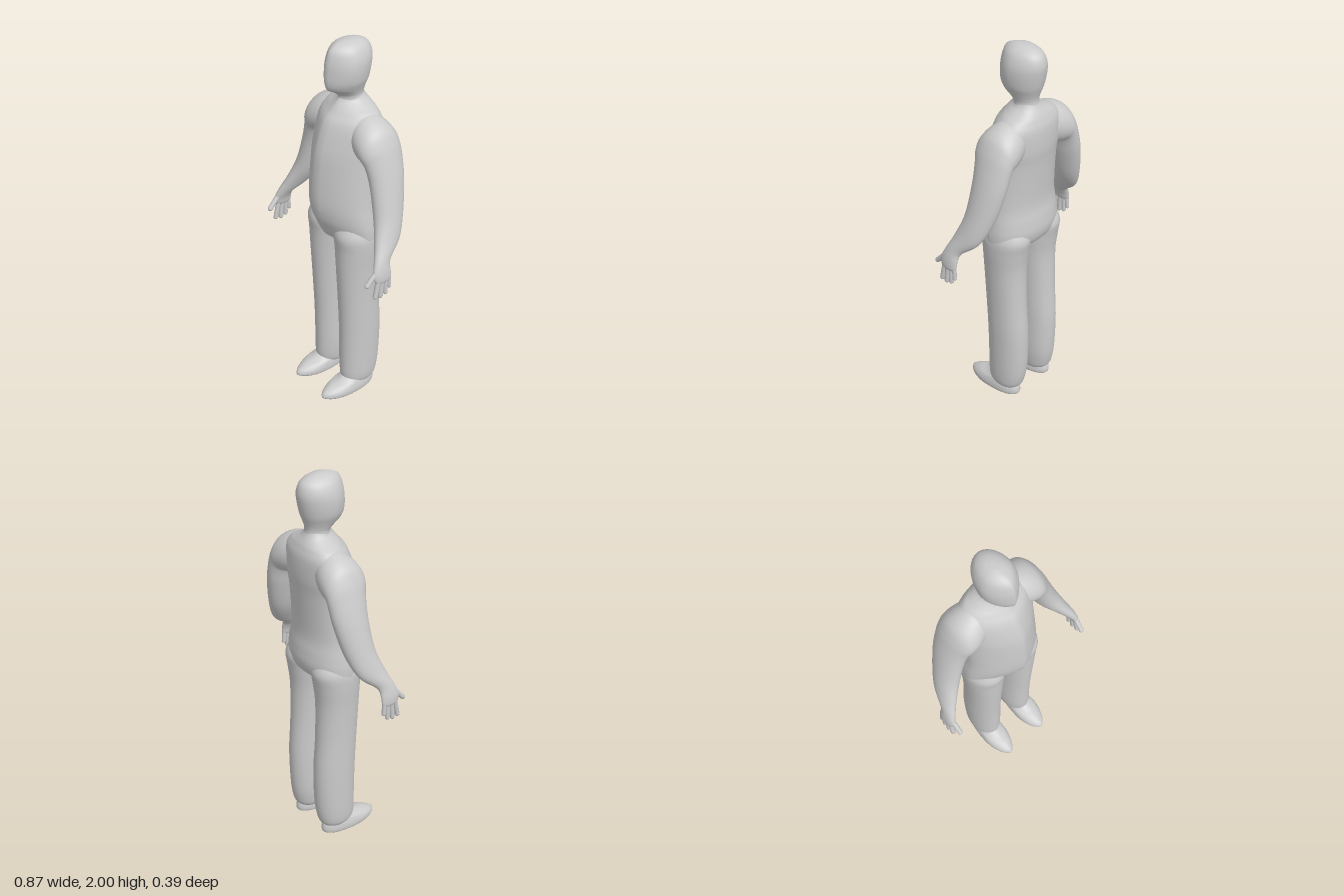
import * as THREE from 'three';

const SEG = 36, SUB = 5;
const material = new THREE.MeshStandardMaterial({ color: 0xcccccc });

// A row is one cross-section: [outerX, outerY, innerX, innerY, frontZ, widestZ, backZ]
const level = (y, xo, xi, zf, zc, zb) => [xo, y, xi, y, zf, zc, zb];
const centred = ([y, hw, zf, zc, zb]) => level(y, hw, -hw, zf, zc, zb);
const mirrorRow = ([ox, oy, ix, iy, ...z]) => [-ix, iy, -ox, oy, ...z];

// Catmull-Rom between rows so that few sections give a smooth body
function smoothRows(rows) {
  const out = [];
  const at = i => rows[Math.min(Math.max(i, 0), rows.length - 1)];
  for (let i = 0; i < rows.length - 1; i++) {
    for (let s = 0; s < SUB; s++) {
      const t = s / SUB, [a, b, c, d] = [at(i - 1), at(i), at(i + 1), at(i + 2)];
      out.push(b.map((v, k) => v + 0.5 * t * (c[k] - a[k] + t * (2 * a[k] - 5 * v + 4 * c[k] - d[k]
        + t * (3 * (v - c[k]) + d[k] - a[k])))));
    }
  }
  out.push(rows[rows.length - 1]);
  return out;
}

// Closed skin through the rows, given from top to bottom; ridge sharpens the front
function loft(name, sections, ridge = 0, backPower = 1) {
  const rows = smoothRows(sections), pos = [], idx = [];
  for (const [ox, oy, ix, iy, zf, zc, zb] of rows) {
    for (let j = 0; j < SEG; j++) {
      const a = j / SEG * Math.PI * 2, c = Math.cos(a), s = Math.sin(a);
      const z = s >= 0
        ? zc + (zf - zc) * (s * (1 - ridge) + ridge * (1 - Math.abs(c)))
        : zc - (zc - zb) * Math.pow(-s, backPower);
      pos.push((ox + ix) / 2 + c * (ox - ix) / 2, (oy + iy) / 2 + c * (oy - iy) / 2, z);
    }
  }
  const last = rows.length - 1, top = rows.length * SEG;
  for (const [ox, oy, ix, iy, zf, , zb] of [rows[0], rows[last]])
    pos.push((ox + ix) / 2, (oy + iy) / 2, (zf + zb) / 2);
  for (let j = 0; j < SEG; j++) {
    const k = (j + 1) % SEG;
    for (let i = 0; i < last; i++) {
      const a = i * SEG + j, b = i * SEG + k;
      idx.push(a, b, a + SEG, b, b + SEG, a + SEG);
    }
    idx.push(top, k, j, top + 1, last * SEG + j, last * SEG + k);
  }
  const geo = new THREE.BufferGeometry();
  geo.setAttribute('position', new THREE.Float32BufferAttribute(pos, 3));
  geo.setIndex(idx);
  geo.computeVertexNormals();
  const mesh = new THREE.Mesh(geo, material);
  mesh.name = name;
  return mesh;
}

// Rounded finger between two points
function finger(name, from, to, r) {
  const a = new THREE.Vector3(...from), b = new THREE.Vector3(...to), dir = b.clone().sub(a);
  const mesh = new THREE.Mesh(new THREE.CapsuleGeometry(r, dir.length(), 5, 10), material);
  mesh.name = name;
  mesh.position.copy(a).add(b).multiplyScalar(0.5);
  mesh.quaternion.setFromUnitVectors(new THREE.Vector3(0, 1, 0), dir.normalize());
  return mesh;
}

const HEAD = [
  [2.0, 0.015, -0.03, -0.05, -0.08],
  [1.99, 0.045, 0.015, -0.05, -0.125],
  [1.965, 0.073, 0.052, -0.05, -0.162],
  [1.92, 0.092, 0.07, -0.05, -0.177],
  [1.87, 0.097, 0.078, -0.045, -0.173],
  [1.81, 0.09, 0.08, -0.045, -0.16],
  [1.77, 0.074, 0.066, -0.05, -0.146],
  [1.742, 0.062, 0.025, -0.06, -0.138],
  [1.715, 0.057, 0.0, -0.07, -0.138],
  [1.66, 0.07, 0.005, -0.08, -0.15],
].map(centred);

const TORSO = [
  [1.73, 0.05, -0.012, -0.07, -0.13],
  [1.70, 0.066, 0.005, -0.08, -0.145],
  [1.675, 0.105, 0.025, -0.085, -0.16],
  [1.65, 0.15, 0.045, -0.085, -0.172],
  [1.60, 0.19, 0.085, -0.08, -0.187],
  [1.50, 0.195, 0.122, -0.06, -0.19],
  [1.40, 0.19, 0.142, -0.04, -0.18],
  [1.20, 0.197, 0.156, -0.025, -0.168],
  [1.10, 0.208, 0.143, -0.025, -0.18],
  [1.03, 0.214, 0.115, -0.03, -0.184],
  [0.97, 0.208, 0.085, -0.035, -0.165],
  [0.935, 0.17, 0.05, -0.04, -0.12],
].map(centred);

const LEG = [
  level(1.06, 0.19, 0.01, 0.07, -0.035, -0.15),
  level(1.0, 0.212, 0.0, 0.09, -0.035, -0.175),
  level(0.92, 0.212, 0.002, 0.083, -0.035, -0.163),
  level(0.8, 0.203, 0.012, 0.079, -0.035, -0.15),
  level(0.6, 0.195, 0.02, 0.07, -0.04, -0.155),
  level(0.4, 0.192, 0.022, 0.062, -0.05, -0.168),
  level(0.2, 0.188, 0.024, 0.06, -0.05, -0.163),
  level(0.1, 0.183, 0.034, 0.058, -0.045, -0.148),
  level(0.06, 0.172, 0.045, 0.045, -0.045, -0.13),
  level(0.04, 0.15, 0.065, 0.02, -0.045, -0.1),
];

const FOOT = [
  level(0.11, 0.155, 0.07, 0.03, -0.02, -0.09),
  level(0.08, 0.168, 0.06, 0.085, 0.0, -0.11),
  level(0.062, 0.175, 0.052, 0.14, 0.03, -0.122),
  level(0.04, 0.18, 0.048, 0.182, 0.045, -0.13),
  level(0.02, 0.18, 0.048, 0.195, 0.045, -0.132),
  level(0.006, 0.175, 0.053, 0.186, 0.045, -0.127),
  level(0.0, 0.16, 0.068, 0.165, 0.04, -0.11),
];

// Shoulder to palm
const ARM = [
  [0.07, 1.665, 0.07, 1.46, 0.0, -0.08, -0.15],
  [0.16, 1.65, 0.12, 1.44, 0.03, -0.08, -0.18],
  [0.232, 1.612, 0.155, 1.43, 0.04, -0.08, -0.19],
  [0.27, 1.55, 0.18, 1.43, 0.035, -0.08, -0.188],
  [0.295, 1.48, 0.194, 1.4, 0.02, -0.08, -0.185],
  [0.327, 1.37, 0.215, 1.32, 0.012, -0.08, -0.175],
  [0.365, 1.215, 0.262, 1.17, 0.022, -0.06, -0.14],
  [0.395, 1.1, 0.325, 1.06, 0.055, -0.02, -0.09],
  [0.418, 1.02, 0.37, 0.995, 0.085, 0.035, -0.01],
  [0.431, 0.965, 0.391, 0.955, 0.102, 0.048, 0.0],
  [0.434, 0.925, 0.4, 0.922, 0.097, 0.048, 0.002],
  [0.43, 0.91, 0.408, 0.908, 0.085, 0.048, 0.014],
];

// Knuckle and tip as [y, z], with the radius
const FINGERS = [
  ['thumb', 0.965, 0.088, 0.912, 0.136, 0.013],
  ['indexFinger', 0.92, 0.078, 0.836, 0.095, 0.0125],
  ['middleFinger', 0.92, 0.056, 0.832, 0.064, 0.013],
  ['ringFinger', 0.92, 0.034, 0.84, 0.034, 0.0125],
  ['littleFinger', 0.92, 0.014, 0.868, 0.011, 0.011],
];

export function createModel() {
  const model = new THREE.Group();
  model.name = 'standingFigure';
  model.add(loft('head', HEAD, 0.3), loft('torso', TORSO, 0.35, 0.85));

  for (const [side, s] of [['left', 1], ['right', -1]]) {
    const rows = list => (s > 0 ? list : list.map(mirrorRow));
    model.add(
      loft(side + 'Arm', rows(ARM)),
      loft(side + 'Leg', rows(LEG), 0, 0.9),
      loft(side + 'Foot', rows(FOOT), 0.15, 0.8),
    );
    const hand = new THREE.Group();
    hand.name = side + 'Fingers';
    for (const [name, y0, z0, y1, z1, r] of FINGERS) {
      const thumb = name === 'thumb';
      hand.add(finger(name, [s * (thumb ? 0.408 : 0.417), y0, z0], [s * (thumb ? 0.406 : 0.418), y1, z1], r));
    }
    model.add(hand);
  }
  return model;
}
